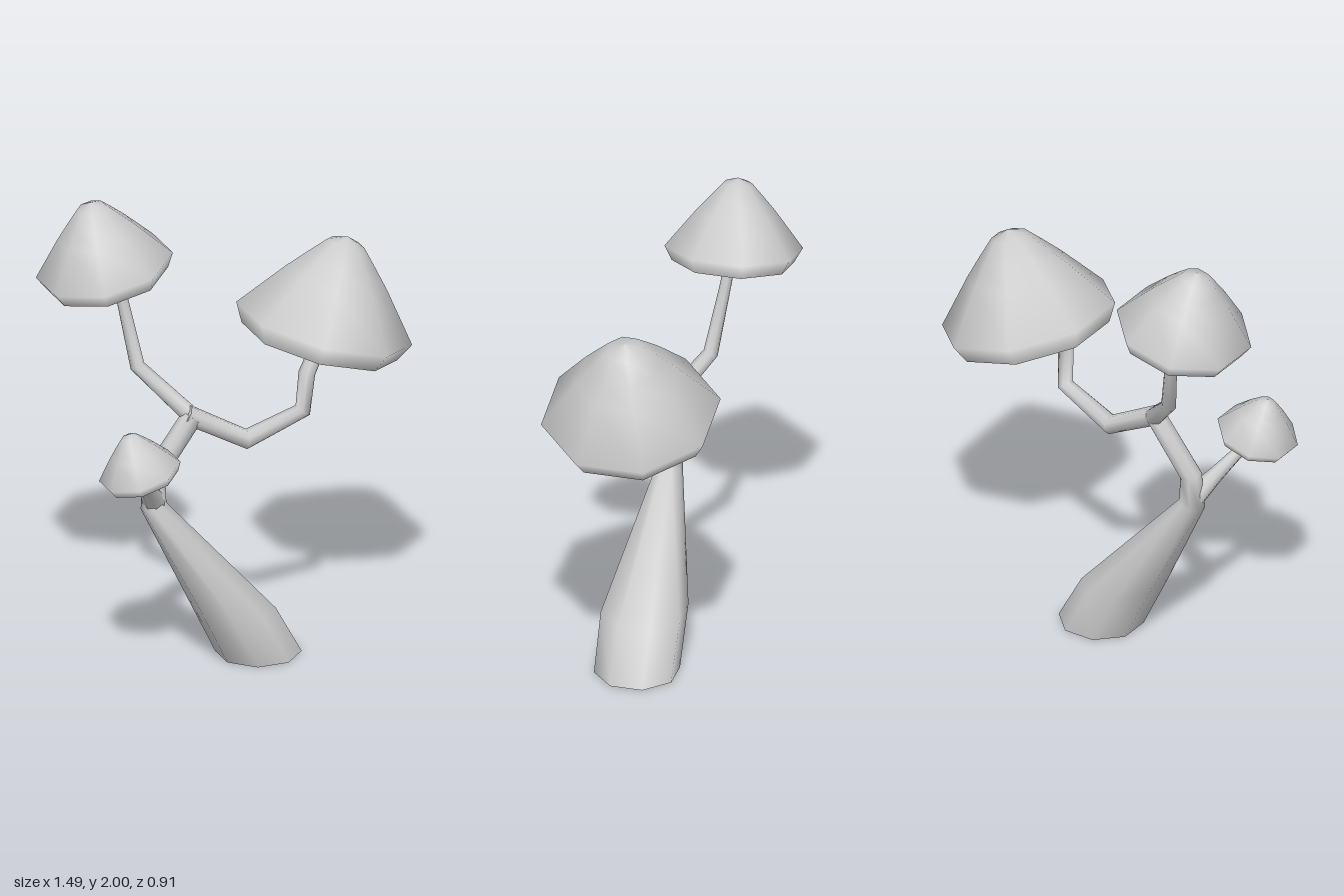
import * as THREE from 'three';

const material = new THREE.MeshStandardMaterial({ color: 0xcccccc });
const SIDES = 8;
const HALF = Math.PI / SIDES;

// Tapered limb through rings [x, y, z, radius, optional ring normal]
function limb(name, rings) {
  const centres = rings.map(([x, y, z]) => new THREE.Vector3(x, y, z));
  const ref = new THREE.Vector3(0, 0, 1);
  const pos = [], index = [];
  rings.forEach(([, , , r, normal], i) => {
    const n = new THREE.Vector3();
    if (normal) n.set(...normal);
    else {
      if (i > 0) n.add(centres[i].clone().sub(centres[i - 1]).normalize());
      if (i < rings.length - 1) n.add(centres[i + 1].clone().sub(centres[i]).normalize());
    }
    n.normalize();
    const u = n.clone().cross(ref).normalize();
    const v = n.clone().cross(u);
    for (let j = 0; j < SIDES; j++) {
      const a = HALF + (j / SIDES) * Math.PI * 2;
      const p = centres[i].clone().addScaledVector(u, r * Math.cos(a)).addScaledVector(v, r * Math.sin(a));
      pos.push(p.x, p.y, p.z);
    }
  });
  for (let i = 0; i < rings.length - 1; i++) {
    for (let j = 0; j < SIDES; j++) {
      const a = i * SIDES + j, b = i * SIDES + (j + 1) % SIDES;
      index.push(a, b, a + SIDES, b, b + SIDES, a + SIDES);
    }
  }
  // close both ends with separate vertices so the end edges stay sharp
  for (const end of [0, rings.length - 1]) {
    const start = pos.length / 3;
    pos.push(...pos.slice(end * SIDES * 3, (end + 1) * SIDES * 3));
    for (let j = 1; j < SIDES - 1; j++) {
      if (end === 0) index.push(start, start + j + 1, start + j);
      else index.push(start, start + j, start + j + 1);
    }
  }
  const geo = new THREE.BufferGeometry();
  geo.setAttribute('position', new THREE.Float32BufferAttribute(pos, 3));
  geo.setIndex(index);
  geo.computeVertexNormals();
  const mesh = new THREE.Mesh(geo, material);
  mesh.name = name;
  return mesh;
}

function lathe(name, profile) {
  const points = profile.map(([r, y]) => new THREE.Vector2(r / Math.cos(HALF), y));
  const mesh = new THREE.Mesh(new THREE.LatheGeometry(points, SIDES, HALF), material);
  mesh.name = name;
  return mesh;
}

// Eight-sided mushroom cap: pointed dome, turned-in rim and hollow underside
function cap(name, position, tilt, scale) {
  const group = new THREE.Group();
  group.name = name;
  group.add(
    lathe('capDome', [[0.305, -0.08], [0.345, 0], [0.2, 0.2], [0.135, 0.28], [0.072, 0.355], [0, 0.385]]),
    lathe('capUnderside', [[0, -0.02], [0.06, -0.02], [0.24, -0.015], [0.275, -0.06], [0.305, -0.08]]),
  );
  group.position.set(...position);
  group.rotation.z = tilt;
  group.scale.setScalar(scale);
  return group;
}

export function createModel() {
  const model = new THREE.Group();
  model.name = 'mushroomCluster';

  // Leaning trunk
  model.add(limb('trunk', [
    [0.09, 0, 0.057, 0.178, [0, 1, 0]],
    [-0.027, 0.23, 0.057, 0.182, [0.12, 1, 0]],
    [-0.37, 0.715, 0.045, 0.055],
    [-0.365, 0.85, 0.04, 0.048],
    [-0.195, 1.08, 0.035, 0.045],
  ]));

  // Stems
  model.add(limb('upperStem', [
    [-0.18, 1.065, 0.04, 0.04],
    [-0.37, 1.27, -0.13, 0.032],
    [-0.42, 1.57, -0.18, 0.024],
    [-0.47, 1.71, -0.195, 0.022],
  ]));
  model.add(limb('sideStem', [
    [-0.22, 1.095, 0.035, 0.042],
    [0.04, 0.95, 0.052, 0.042],
    [0.28, 1.05, 0.075, 0.036],
    [0.29, 1.22, 0.095, 0.035],
    [0.405, 1.375, 0.02, 0.032],
  ]));
  model.add(limb('lowerStem', [
    [-0.37, 0.74, 0.05, 0.05],
    [-0.43, 0.83, 0.125, 0.034],
    [-0.53, 0.985, 0.285, 0.018],
  ]));

  // Caps
  model.add(cap('largeCap', [0.408, 1.385, -0.005], -0.274, 1));
  model.add(cap('upperCap', [-0.49, 1.713, -0.195], 0.218, 0.77));
  model.add(cap('smallCap', [-0.53, 0.988, 0.288], 0.28, 0.465));

  return model;
}
